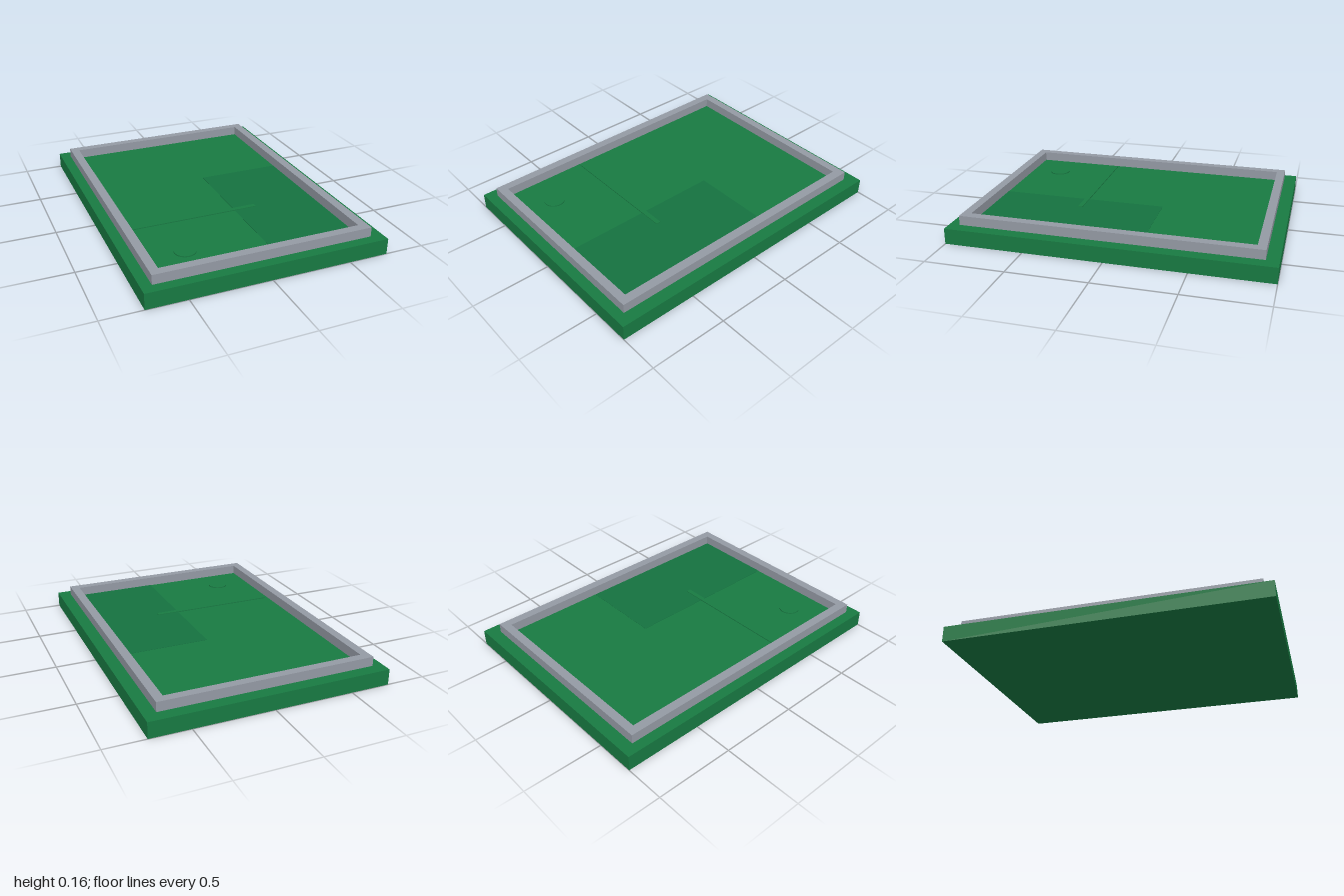
import * as THREE from 'three';

const green = new THREE.MeshStandardMaterial({ color: 0x187a42 });
const darkGreen = new THREE.MeshStandardMaterial({ color: 0x157240 });
const grey = new THREE.MeshStandardMaterial({ color: 0x949aa4 });

// Box given by its minimum and maximum corners
function slab(name, [x0, y0, z0], [x1, y1, z1], material) {
  const mesh = new THREE.Mesh(new THREE.BoxGeometry(x1 - x0, y1 - y0, z1 - z0), material);
  mesh.name = name;
  mesh.position.set((x0 + x1) / 2, (y0 + y1) / 2, (z0 + z1) / 2);
  return mesh;
}

// Counter-clockwise rectangle in plan; shape y becomes -z once laid flat
function rectangle(PathType, x0, x1, z0, z1) {
  return new PathType([[x0, z1], [x1, z1], [x1, z0], [x0, z0]].map(([x, z]) => new THREE.Vector2(x, -z)));
}

export function createModel() {
  const model = new THREE.Group();
  model.name = 'framedBoard';

  // Thick board
  model.add(slab('base', [-0.75, 0, -1], [0.75, 0.1, 1], green));

  // Raised rectangular rim, slightly off centre
  const outline = rectangle(THREE.Shape, -0.685, 0.672, -0.922, 0.935);
  outline.holes.push(rectangle(THREE.Path, -0.63, 0.615, -0.868, 0.88));
  const frame = new THREE.Mesh(
    new THREE.ExtrudeGeometry(outline, { depth: 0.06, bevelEnabled: false }).rotateX(-Math.PI / 2),
    grey
  );
  frame.name = 'frame';
  frame.position.y = 0.1;
  model.add(frame);

  // Very low panel in the front corner and the thin strip running into it
  model.add(slab('cornerPanel', [0.07, 0.095, -0.2], [0.612, 0.102, 0.88], darkGreen));
  model.add(slab('strip', [-0.61, 0.095, 0.3], [0.215, 0.106, 0.33], green));

  // Small round button
  const button = new THREE.Mesh(new THREE.CylinderGeometry(0.065, 0.065, 0.014, 32), green);
  button.name = 'button';
  button.position.set(-0.4, 0.1, 0.68);
  model.add(button);

  return model;
}
